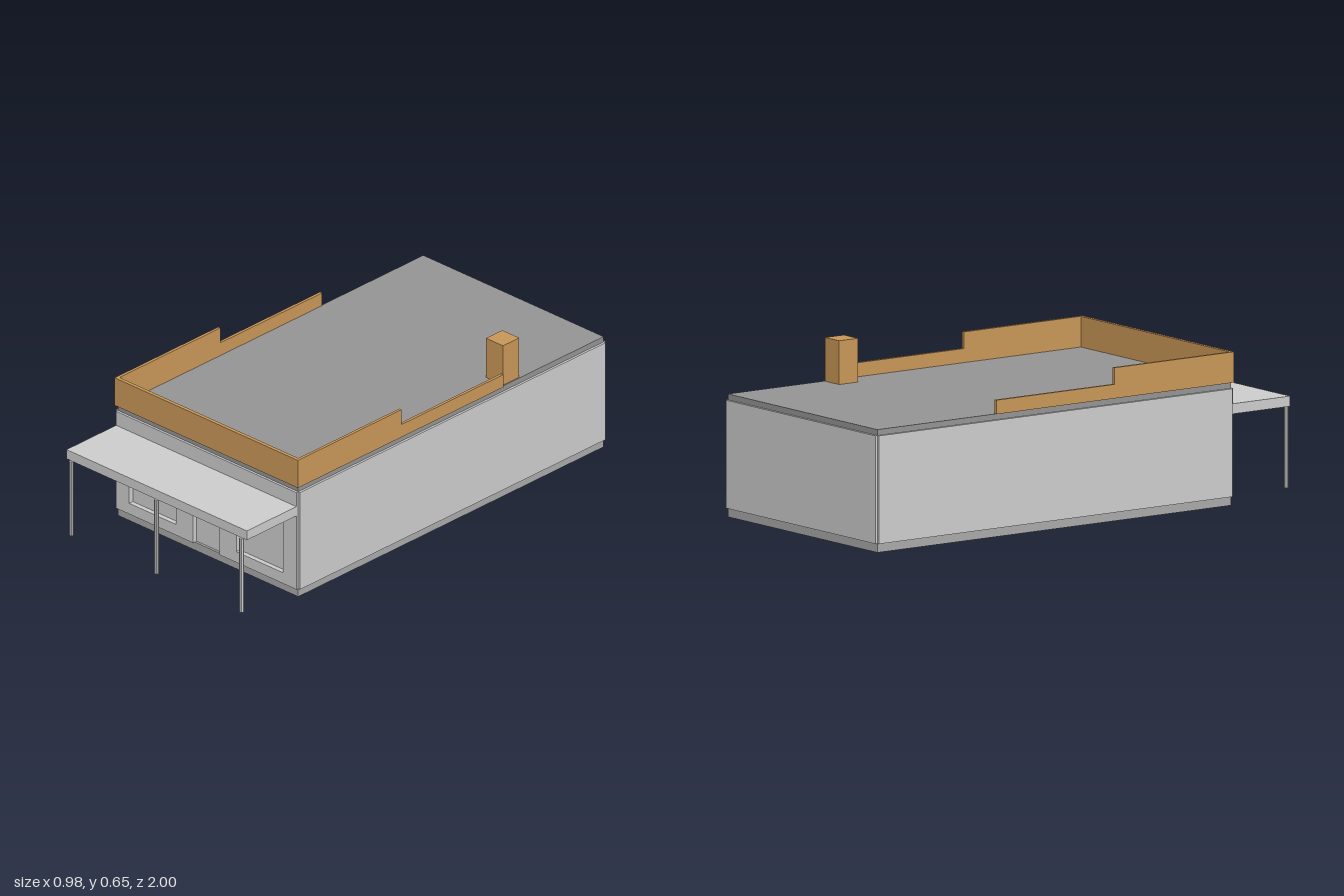
import * as THREE from 'three';

const material = (color) => new THREE.MeshStandardMaterial({ color, flatShading: true });

export function createModel() {
  const group = new THREE.Group();
  const grey = material(0xcccccc);
  const concrete = material(0xa8a8a8);
  const roofing = material(0x939393);
  const timber = material(0xc79657);

  const add = (name, geometry, mat) => {
    const mesh = new THREE.Mesh(geometry, mat);
    mesh.name = name;
    group.add(mesh);
    return mesh;
  };
  // Box given by its lower and upper corners
  const box = (name, [x0, y0, z0], [x1, y1, z1], mat) => {
    const mesh = add(name, new THREE.BoxGeometry(x1 - x0, y1 - y0, z1 - z0), mat);
    mesh.position.set((x0 + x1) / 2, (y0 + y1) / 2, (z0 + z1) / 2);
    return mesh;
  };
  const rectangle = (path, x0, y0, x1, y1) =>
    path.moveTo(x0, y0).lineTo(x1, y0).lineTo(x1, y1).lineTo(x0, y1).closePath();

  const W = 0.48, front = 0.705, back = -0.99;
  const floor = 0.035, eaves = 0.457, roof = 0.48, skin = 0.01;

  // Foundation and roof slab
  box('foundation', [-W, 0, back], [W, floor, front], concrete);
  box('roofSlab', [-W, eaves, back], [W, roof, front], roofing);

  // Side and back walls stand just proud of the slabs, leaving notched corners
  for (const s of [-1, 1]) {
    const wall = box('sideWall', [W - skin, floor, back], [W + skin, eaves, front], grey);
    wall.position.x *= s;
  }
  box('backWall', [-W, floor, back - skin], [W, eaves, back + skin], grey);

  // Front wall with two windows and a doorway cut out
  const facade = new THREE.Shape();
  facade.moveTo(-W, floor).lineTo(-0.07, floor).lineTo(-0.07, 0.272).lineTo(0.07, 0.272)
    .lineTo(0.07, floor).lineTo(W, floor).lineTo(W, eaves).lineTo(-W, eaves).closePath();
  for (const s of [-1, 1]) {
    const hole = new THREE.Path();
    rectangle(hole, s * 0.285 - 0.125, 0.082, s * 0.285 + 0.125, 0.34);
    facade.holes.push(hole);
  }
  add('frontWall', new THREE.ExtrudeGeometry(facade, { depth: 2 * skin, bevelEnabled: false }), grey)
    .position.z = front - skin;

  // Recessed door and window panes
  box('door', [-0.07, floor, front - 0.02], [0.07, 0.272, front - skin], grey);
  for (const s of [-1, 1]) {
    box('windowPane', [s * 0.285 - 0.125, 0.082, front - 0.02], [s * 0.285 + 0.125, 0.34, front - skin], grey);
  }

  // Porch canopy on three slim posts
  box('canopy', [-W, 0.356, front + skin], [W, 0.396, 0.99], grey);
  for (const x of [-0.453, 0, 0.453]) {
    add('canopyPost', new THREE.CylinderGeometry(0.009, 0.009, 0.321, 8), grey)
      .position.set(x, 0.1955, 0.991);
  }

  // Stepped parapet: front board and two side boards
  box('frontParapet', [-W, roof, front - 0.005], [W, 0.6, front + skin], timber);
  const step = new THREE.Shape();
  step.moveTo(-0.715, roof).lineTo(0.425, roof).lineTo(0.425, 0.535)
    .lineTo(-0.14, 0.535).lineTo(-0.14, 0.6).lineTo(-0.715, 0.6).closePath();
  for (const s of [-1, 1]) {
    const board = add('sideParapet',
      new THREE.ExtrudeGeometry(step, { depth: 0.012, bevelEnabled: false }), timber);
    board.rotation.y = Math.PI / 2;
    board.position.x = s * 0.482 - 0.006;
  }

  // Chimney
  box('chimney', [0.385, roof, -0.527], [0.475, 0.651, -0.437], timber);

  return group;
}
